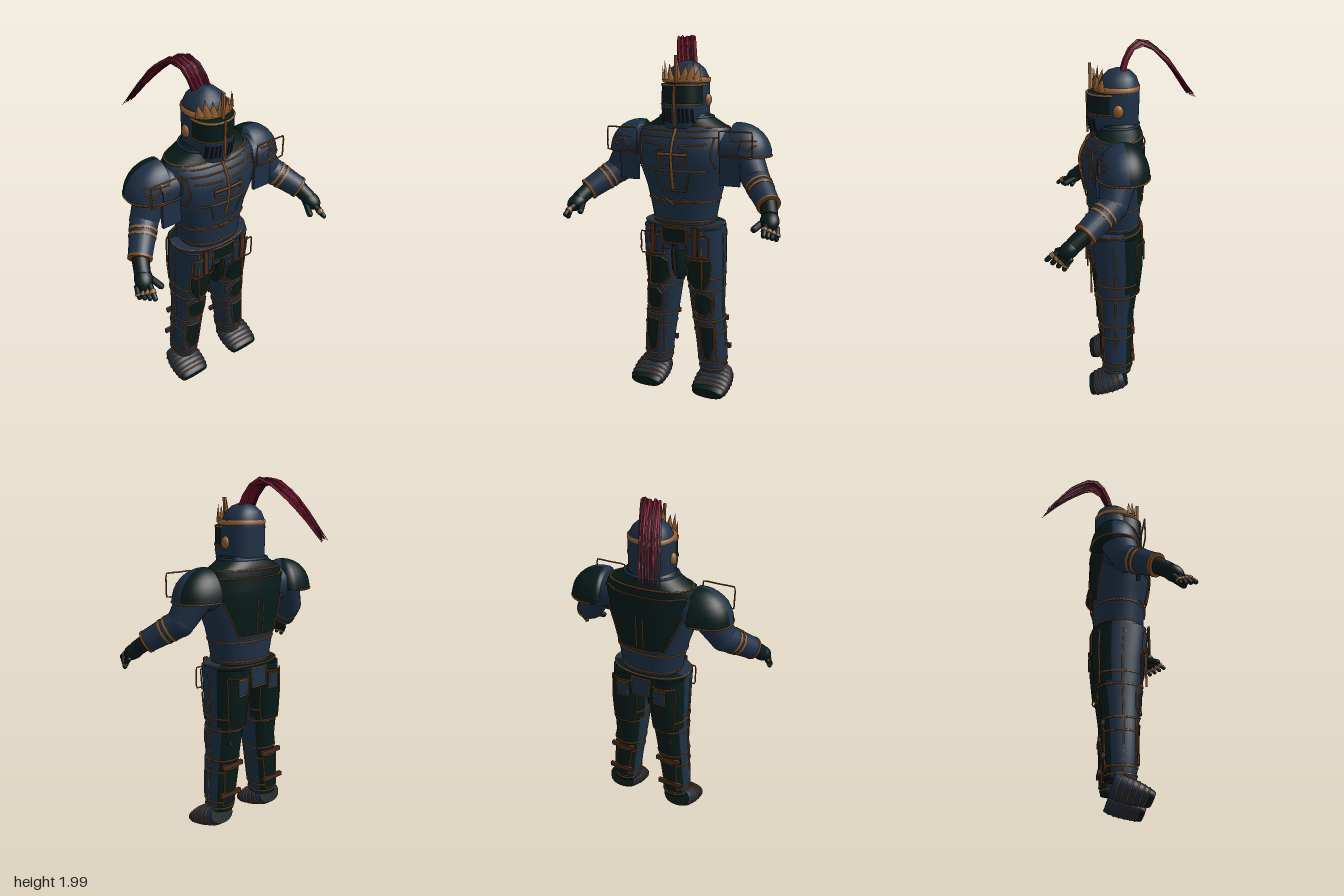
import * as THREE from 'three';

const mat = (name, color) => Object.assign(new THREE.MeshStandardMaterial({ color }), { name });
const steel = mat('blue steel', 0x1e3147), green = mat('dark green enamel', 0x061b1a), gold = mat('gold', 0x936030), bronze = mat('bronze trim', 0x814e1f);
const leather = mat('brown leather', 0x4c2b1c), black = mat('black slit', 0x060a10), crimson = mat('crimson plume', 0x841431), wine = mat('dark plume', 0x420b1e);
const V = (x, y, z) => new THREE.Vector3(x, y, z);
function add(parent, name, geo, m, at = V(0, 0, 0)) {
  const mesh = new THREE.Mesh(geo, m);
  mesh.name = name;
  mesh.position.copy(at);
  parent.add(mesh);
  return mesh;
}
const box = (parent, name, w, h, d, x, y, z, m) => add(parent, name, new THREE.BoxGeometry(w, h, d), m, V(x, y, z));

// Rings are [y, cx, cz, rx, rz], listed upwards; each section is a superellipse
const POW = 2.25, sp = v => Math.sign(v) * Math.abs(v) ** (2 / POW);
const onRing = ([y, cx, cz, rx, rz], a) => V(cx + rx * sp(Math.sin(a)), y, cz + rz * sp(Math.cos(a)));
function ringAt(rings, y) {
  let i = 0;
  while (i < rings.length - 2 && y > rings[i + 1][0]) i++;
  const t = THREE.MathUtils.clamp((y - rings[i][0]) / (rings[i + 1][0] - rings[i][0]), 0, 1);
  return rings[i].map((v, k) => v + (rings[i + 1][k] - v) * t);
}
// Point on the front (dir 1) or back (dir -1) of a loft
function onFace(rings, x, y, dir, off) {
  const [, cx, cz, rx, rz] = ringAt(rings, y), u = Math.min(Math.abs(x - cx) / rx, 0.985);
  return V(x, y, cz + dir * (rz * (1 - u ** POW) ** (1 / POW) + off));
}
// Skin over rows of points; pick(column, row) chooses a material index
function grid(rows, wrap, pick = () => 0) {
  const W = rows[0].length, idx = [[], []], g = new THREE.BufferGeometry().setFromPoints(rows.flat());
  for (let i = 0; i < rows.length - 1; i++) for (let j = 0; j < (wrap ? W : W - 1); j++) {
    const a = i * W + j, b = i * W + (j + 1) % W;
    idx[pick(j, i)].push(a, b, b + W, a, b + W, a + W);
  }
  g.setIndex(idx.flat());
  g.addGroup(0, idx[0].length, 0);
  g.addGroup(idx[0].length, idx[1].length, 1);
  g.computeVertexNormals();
  return g;
}
// Closed shell through the rings, with flat caps; pick(angle, y)
function loft(rings, pick = () => 0, segs = 40) {
  const a = rings[0], z = rings.at(-1), flat = r => [...r.slice(0, 3), 0, 0];
  const all = [flat(a), a, ...rings, z, flat(z)], ang = j => j / segs * Math.PI * 2;
  const rows = all.map(r => Array.from({ length: segs }, (_, j) => onRing(r, ang(j))));
  return grid(rows, true, (j, i) => pick(ang(j + 0.5), (all[i][0] + all[i + 1][0]) / 2));
}
function wire(parent, name, pts, r = 0.004, m = bronze, closed = false) {
  return add(parent, name, new THREE.TubeGeometry(new THREE.CatmullRomCurve3(pts, closed, 'centripetal'), pts.length * 2, r, 5, closed), m);
}
// Line of trim lying on a loft, through [x, y] points
function trim(parent, rings, pts, dir = 1, off = 0.003, r = 0.0042, m = bronze) {
  wire(parent, 'trimLine', pts.flatMap(([x, y], i) => {
    const [px, py] = pts[Math.max(i - 1, 0)], n = i ? 5 : 1;
    return Array.from({ length: n }, (_, k) => onFace(rings, px + (x - px) * (k + 1) / n, py + (y - py) * (k + 1) / n, dir, off));
  }), r, m);
}
const hoop = (parent, rings, y, r = 0.005, m = bronze) =>
  wire(parent, 'trimHoop', Array.from({ length: 32 }, (_, i) => onRing(ringAt(rings, y), i / 16 * Math.PI)), r, m, true);
// Thin curved plate over a loft; rows are [y, x0, x1] upwards
function plate(parent, name, rings, rows, m, dir = 1, off = 0.007, edge = true) {
  const pts = Array.from({ length: rows.length * 4 - 3 }, (_, i) => {
    const k = Math.min(i >> 2, rows.length - 2), [y, p, q] = rows[k].map((v, c) => v + (rows[k + 1][c] - v) * (i / 4 - k));
    const [from, to] = (q - p) * dir > 0 ? [p, q] : [q, p];
    return Array.from({ length: 9 }, (_, j) => onFace(rings, from + (to - from) * j / 8, y, dir, off));
  });
  add(parent, name, grid(pts, false), m);
  if (edge) trim(parent, rings, [...rows.map(r => [r[1], r[0]]), ...rows.map(r => [r[2], r[0]]).reverse(), [rows[0][1], rows[0][0]]], dir, off);
}
// Tapered cylinder, or capsule, between two points
function limb(parent, name, a, b, ra, rb, m, round = false) {
  const d = b.clone().sub(a), len = d.length();
  const mesh = add(parent, name, round ? new THREE.CapsuleGeometry(ra, len, 4, 10) : new THREE.CylinderGeometry(rb, ra, len, 24), m, a.clone().lerp(b, 0.5));
  mesh.quaternion.setFromUnitVectors(V(0, 1, 0), d.normalize());
}
// Open upright frame of thin bars
const frame = (parent, s, x0, x1, y0, y1, z) =>
  wire(parent, 'openFrame', [[x0, y0], [x1, y0], [x1, y1], [x0, y1], [x0, y0]].flatMap(([x, y], i, c) =>
    i ? [0.02, 0.5, 0.98].map(t => V(s * (c[i - 1][0] + (x - c[i - 1][0]) * t), c[i - 1][1] + (y - c[i - 1][1]) * t, z)) : []), 0.0045, bronze, true);

function buildTorso(g) {
  const body = [[0.96, 0, 0.05, 0.165, 0.135], [1.1, 0, 0.05, 0.192, 0.145], [1.2, 0, 0.05, 0.218, 0.152], [1.3, 0, 0.058, 0.25, 0.166],
    [1.4, 0, 0.058, 0.268, 0.17], [1.48, 0, 0.045, 0.265, 0.152], [1.52, 0, 0.03, 0.245, 0.13]];
  add(g, 'breastplate', loft(body, (a, y) => y > 1.44 && Math.cos(a) < 0 ? 1 : 0), [steel, green]);
  const collar = [[1.515, 0, 0.028, 0.245, 0.128], [1.545, 0, 0.025, 0.19, 0.12], [1.575, 0, 0.03, 0.14, 0.11], [1.6, 0, 0.03, 0.11, 0.1]];
  add(g, 'gorget', loft(collar), green);
  hoop(g, collar, 1.52);
  hoop(g, collar, 1.572, 0.008, steel);
  for (const y of [1.02, 1.13]) hoop(g, body, y);
  plate(g, 'backPlate', body, [[1.16, -0.13, 0.13], [1.3, -0.19, 0.19], [1.4, -0.235, 0.235], [1.48, -0.24, 0.24]], green, -1);
  for (const x of [-0.02, 0.02]) trim(g, body, [[x, 1.18], [x, 1.36]], -1, 0.008, 0.003);
  // Breastplate tracery
  plate(g, 'bellyPlate', body, [[1.19, -0.07, 0.07], [1.3, -0.1, 0.1]], steel);
  for (const y of [1.3, 1.475, 1.505]) trim(g, body, [[-0.23, y], [0.23, y]]);
  trim(g, body, [[0, 1.2], [0, 1.515]], 1, 0.008, 0.008);
  trim(g, body, [[-0.085, 1.385], [0.085, 1.385]], 1, 0.006, 0.007);
  for (const s of [-1, 1]) {
    for (const pts of [[[0.03, 1.33], [0.08, 1.35], [0.085, 1.4], [0.05, 1.41]], [[0.21, 1.47], [0.2, 1.38], [0.22, 1.31]],
      [[0, 1.11], [0.05, 1.145], [0.1, 1.13], [0.16, 1.15]], [[0.03, 1.43], [0.18, 1.44]]]) trim(g, body, pts.map(([x, y]) => [s * x, y]), 1, 0.004);
  }
  // Hip shell, belt and centre guard
  const hip = [[0.86, 0, 0.045, 0.229, 0.148], [0.93, 0, 0.048, 0.229, 0.15], [1.0, 0, 0.05, 0.226, 0.15]];
  add(g, 'hipShell', loft(hip, a => Math.cos(a) < -0.3 ? 1 : 0), [steel, green]);
  hoop(g, hip, 0.997);
  const guard = [[0.68, 0, 0.1, 0.018, 0.05], [0.74, 0, 0.1, 0.043, 0.085], [0.84, 0, 0.1, 0.045, 0.1], [0.9, 0, 0.1, 0.035, 0.1]];
  add(g, 'groinGuard', loft(guard), green);
  trim(g, guard, [[0, 0.69], [0, 0.88]]);
  plate(g, 'beltPlate', hip, [[0.9, -0.07, 0.07], [0.985, -0.07, 0.07]], green);
  plate(g, 'rearBeltPlate', hip, [[0.87, -0.05, 0.05], [0.98, -0.06, 0.06]], steel, -1);
}

function buildHead(g) {
  const skull = [[1.52, 0, 0.03, 0.118, 0.108], [1.6, 0, 0.03, 0.122, 0.112], [1.74, 0, 0.025, 0.121, 0.112], [1.78, 0, 0.022, 0.113, 0.106],
    [1.82, 0, 0.02, 0.093, 0.09], [1.85, 0, 0.02, 0.058, 0.058], [1.865, 0, 0.02, 0.015, 0.015]];
  add(g, 'skullCap', loft(skull), steel);
  const visor = [[1.515, 0, 0.075, 0.1, 0.1], [1.6, 0, 0.075, 0.112, 0.115], [1.64, 0, 0.075, 0.114, 0.118], [1.745, 0, 0.07, 0.112, 0.118]];
  add(g, 'visor', loft(visor, (a, y) => y > 1.64 ? 1 : 0), [steel, green]);
  hoop(g, visor, 1.74, 0.006, gold);
  hoop(g, visor, 1.64, 0.004);
  for (const s of [-1, 1]) {
    for (let x = 0.018; x < 0.09; x += 0.02) plate(g, 'breathSlit', visor, [[1.545, s * x, s * (x + 0.014)], [1.62, s * x, s * (x + 0.014)]], black, 1, 0.003, false);
    add(g, 'earRosette', new THREE.SphereGeometry(1, 20, 12), gold, V(s * 0.122, 1.66, 0.03)).scale.set(0.02, 0.034, 0.027);
  }
  // Brow band, crown leaves and nasal bar
  const band = [[1.75, 0, 0.035, 0.12, 0.115], [1.755, 0, 0.035, 0.127, 0.123], [1.775, 0, 0.035, 0.127, 0.123], [1.778, 0, 0.035, 0.112, 0.11]];
  add(g, 'browBand', loft(band), gold);
  for (let i = -3; i <= 3; i++) {
    const h = [0.115, 0.085, 0.1, 0.075][Math.abs(i)], p = onRing(band[1], i * 0.3);
    const leaf = add(g, 'crownLeaf', new THREE.ConeGeometry(0.027, h, 4), gold, V(p.x, 1.765 + h / 2, p.z - 0.003));
    leaf.scale.z = 0.3;
    leaf.rotation.set(0, i * 0.3, -i * 0.07);
  }
  box(g, 'nasalBar', 0.012, 0.22, 0.012, 0, 1.635, 0.19, bronze);
  box(g, 'crownSpire', 0.012, 0.14, 0.016, 0, 1.82, 0.172, gold);
  // Plume of curved strands, thinning to the tips
  let seed = 7;
  const rnd = () => (seed = seed * 16807 % 2147483647) / 2147483647;
  for (let i = 0; i < 30; i++) {
    const u = i / 29 - 0.5, e = rnd() - 0.5, f = rnd(), x = u * 0.1;
    const pts = [V(x - 0.005, 1.845, 0.015 - f * 0.02), V(x - 0.03, 1.945 + e * 0.01, -0.025 - f * 0.02), V(x - 0.06, 1.996 - f * 0.025, -0.095),
      V(x - 0.11 + e * 0.02, 1.905 + e * 0.03, -0.215), V(x * 0.8 - 0.19 + e * 0.03, 1.71 - f * 0.04, -0.36 - u * 0.04 - f * 0.03)];
    const strand = wire(g, 'plumeStrand', pts, 0.0066, i % 3 ? crimson : wine), { path } = strand.geometry.parameters, pos = strand.geometry.attributes.position;
    for (let k = 0; k < pos.count; k++) {
      const t = Math.floor(k / 6) / 10, p = V().fromBufferAttribute(pos, k).lerp(path.getPointAt(t), t ** 3 * 0.8);
      pos.setXYZ(k, p.x, p.y, p.z);
    }
  }
}

function buildArm(g, s) {
  const P = (x, y, z) => V(s * x, y, z);
  // Half-dome pauldron, cut flat on the inside
  const cap = Array.from({ length: 9 }, (_, i) => i / 8 * 1.5).map(t => [1.375 + 0.172 * Math.sin(t), s * 0.29, 0.01, 0.182 * Math.cos(t), 0.135 * Math.cos(t)]);
  const dome = loft(cap, a => Math.cos(a) < -0.2 ? 1 : 0), pos = dome.attributes.position;
  for (let i = 0; i < pos.count; i++) pos.setX(i, s * Math.max(s * pos.getX(i), 0.275));
  add(g, 'pauldron', dome, [steel, green]);
  const rim = Array.from({ length: 13 }, (_, i) => onRing(cap[0], s * i / 12 * Math.PI));
  wire(g, 'pauldronRim', rim, 0.005);
  for (const pts of [[[0.3, 1.41], [0.34, 1.45], [0.38, 1.41], [0.42, 1.44]], [[0.29, 1.46], [0.42, 1.46]]]) trim(g, cap, pts.map(([x, y]) => [s * x, y]));
  limb(g, 'shoulderJoint', P(0.2, 1.405, 0.045), P(0.34, 1.405, 0.045), 0.1, 0.1, steel);
  limb(g, 'upperArm', P(0.32, 1.41, 0.03), P(0.41, 1.26, 0.065), 0.1, 0.075, steel);
  add(g, 'elbow', new THREE.SphereGeometry(0.076, 24, 16), steel, P(0.41, 1.26, 0.065));
  box(g, 'armpitPlate', 0.11, 0.15, 0.02, s * 0.295, 1.3, 0.14, steel);
  frame(g, s, 0.24, 0.42, 1.385, 1.51, 0.163);
  // Vambrace and gold bands
  const a = P(0.405, 1.265, 0.06), b = P(0.53, 1.155, 0.205);
  limb(g, 'vambrace', a, b, 0.076, 0.06, steel);
  for (const t of [0.3, 0.44, 0.95]) limb(g, 'armBand', a.clone().lerp(b, t), a.clone().lerp(b, t + 0.06), 0.079 - t * 0.016, 0.078 - t * 0.016, t > 0.9 ? bronze : gold);
  // Gauntlet with banded, spread fingers
  limb(g, 'wrist', P(0.525, 1.16, 0.2), P(0.555, 1.11, 0.265), 0.044, 0.042, green);
  const palm = add(g, 'palm', new THREE.SphereGeometry(1, 20, 14), green, P(0.56, 1.095, 0.28));
  palm.scale.set(0.048, 0.042, 0.062);
  palm.rotation.set(0.6, s * 0.35, 0);
  for (let i = 0; i < 4; i++) {
    const k = P(0.55 + i * 0.016, 1.085 - i * 0.009, 0.315 - i * 0.013), m = P(0.561 + i * 0.015, 1.066 - i * 0.012, 0.364 - i * 0.021), e = P(0.565 + i * 0.013, 1.046 - i * 0.011, 0.39 - i * 0.028);
    limb(g, 'finger', k, m, 0.0145, 0.0145, green, true);
    limb(g, 'fingertip', m, e, 0.013, 0.013, green, true);
    limb(g, 'fingerBand', m.clone().lerp(k, 0.2), m.clone().lerp(e, 0.25), 0.0175, 0.017, gold);
  }
  limb(g, 'thumb', P(0.53, 1.09, 0.27), P(0.5, 1.06, 0.342), 0.017, 0.017, green, true);
}

function buildLeg(g, s) {
  const leg = [[0.14, 0.172, 0.042, 0.074, 0.08], [0.25, 0.168, 0.045, 0.083, 0.086], [0.4, 0.152, 0.045, 0.088, 0.093], [0.52, 0.137, 0.045, 0.092, 0.1],
    [0.65, 0.128, 0.04, 0.1, 0.115], [0.8, 0.122, 0.04, 0.108, 0.132], [0.98, 0.115, 0.05, 0.112, 0.145]].map(([y, x, ...r]) => [y, s * x, ...r]);
  add(g, 'legArmour', loft(leg, (a, y) => Math.cos(a) < (y > 0.6 ? -0.25 : -0.55) ? 1 : 0), [steel, green]);
  const p = (name, m, dir, off, rows) => plate(g, name, leg, rows.map(([y, x0, x1]) => [y, s * x0, s * x1]), m, dir, off);
  p('frontTasset', green, 1, 0.012, [[0.64, 0.1, 0.16], [0.68, 0.055, 0.185], [0.78, 0.06, 0.195], [0.81, 0.09, 0.195]]);
  p('hipTasset', steel, 1, 0.012, [[0.83, 0.06, 0.19], [0.94, 0.05, 0.19]]);
  p('kneePlate', green, 1, 0.012, [[0.49, 0.125, 0.17], [0.515, 0.1, 0.195], [0.585, 0.1, 0.195], [0.615, 0.125, 0.17]]);
  p('kneeSurround', steel, 1, 0.005, [[0.465, 0.11, 0.185], [0.51, 0.08, 0.205], [0.59, 0.075, 0.205], [0.635, 0.1, 0.185]]);
  p('shinPlate', green, 1, 0.006, [[0.22, 0.155, 0.185], [0.3, 0.135, 0.21], [0.42, 0.125, 0.205]]);
  p('rearTasset', green, -1, 0.012, [[0.64, 0.06, 0.19], [0.75, 0.045, 0.2], [0.94, 0.04, 0.2]]);
  p('calfPlate', green, -1, 0.006, [[0.18, 0.13, 0.21], [0.4, 0.1, 0.2]]);
  p('rearHipPlate', steel, -1, 0.018, [[0.84, 0.08, 0.15], [0.93, 0.08, 0.15]]);
  for (const y of [0.16, 0.2, 0.38, 0.45, 0.63, 0.7]) hoop(g, leg, y);
  for (const x of [0.095, 0.21]) trim(g, leg, [[s * (x + 0.015), 0.2], [s * x, 0.45]]);
  wire(g, 'sideSeam', [0.17, 0.35, 0.5, 0.65, 0.8, 0.95].map(y => onRing(ringAt(leg, y), s * 1.5)), 0.004);
  // Leather hangers and calf straps
  box(g, 'beltHanger', 0.028, 0.16, 0.012, s * 0.125, 0.92, 0.207, leather);
  box(g, 'hangerEdge', 0.007, 0.34, 0.01, s * 0.155, 0.81, 0.184, bronze);
  frame(g, s, 0.07, 0.2, 0.83, 0.95, 0.2);
  for (const [y, x, w] of [[0.56, 0.14, 0.08], [0.42, 0.152, 0.15], [0.25, 0.168, 0.15]]) box(g, 'calfStrap', w, 0.026, 0.02, s * x, y, -0.046, leather);
  // Banded sabaton with a blunt toe, built along its own axis and tipped toe-down
  const shoe = [[0, 0, 0, 0.08, 0.057], [0.03, 0, 0, 0.094, 0.061], [0.08, 0, 0, 0.105, 0.059], [0.13, 0, 0, 0.105, 0.052], [0.17, 0, 0, 0.101, 0.044], [0.2, 0, 0, 0.093, 0.037], [0.209, 0, 0, 0.084, 0.031]];
  const foot = add(g, 'sabaton', loft(shoe, (a, y) => y > 0.17 || y === 0 ? 1 : 0), [steel, green], V(s * 0.193, 0.117, 0));
  for (const y of [0.03, 0.06, 0.09, 0.12, 0.15, 0.175]) hoop(foot, shoe, y, 0.0045);
  foot.rotation.x = 1.92;
}

export function createModel() {
  const root = new THREE.Group();
  root.name = 'armouredKnight';
  const part = (name, build, s) => {
    const g = new THREE.Group();
    g.name = name;
    root.add(g);
    build(g, s);
  };
  part('torso', buildTorso);
  part('helmet', buildHead);
  for (const s of [-1, 1]) {
    part(s > 0 ? 'leftArm' : 'rightArm', buildArm, s);
    part(s > 0 ? 'leftLeg' : 'rightLeg', buildLeg, s);
  }
  return root;
}
